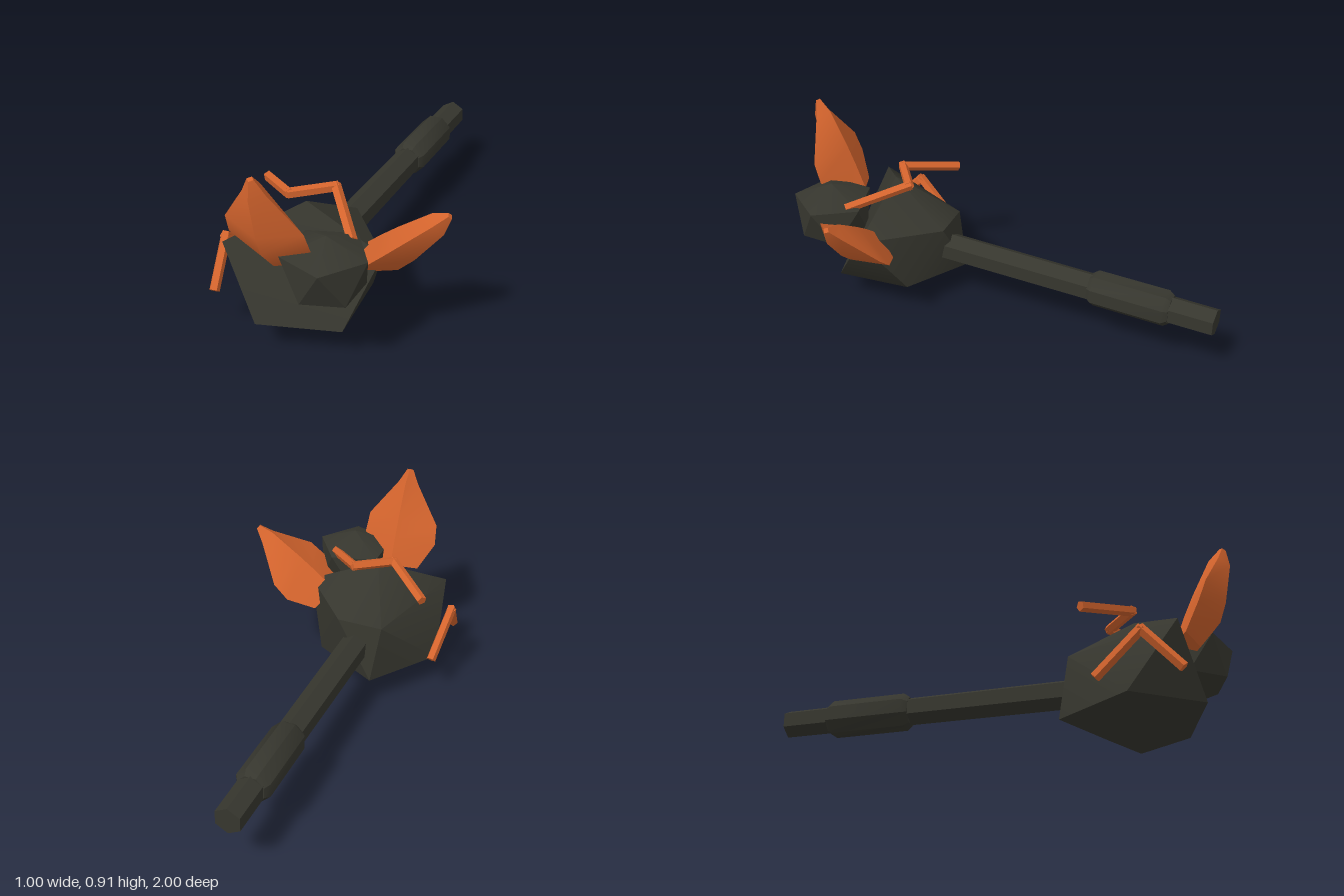
import * as THREE from 'three';
import { ConvexGeometry } from 'three/addons/geometries/ConvexGeometry.js';
import { toCreasedNormals } from 'three/addons/utils/BufferGeometryUtils.js';

const V = (x, y, z) => new THREE.Vector3(x, y, z);

export function createModel() {
  const model = new THREE.Group();
  const darkIron = new THREE.MeshStandardMaterial({ color: 0x36362e });
  const orangeLeaf = new THREE.MeshStandardMaterial({ color: 0xd4642d });
  darkIron.name = 'darkIron';
  orangeLeaf.name = 'orangeLeaf';

  // ridges stay sharp, shallow bends are smoothed
  function add(name, geometry, material, parent = model) {
    const mesh = new THREE.Mesh(toCreasedNormals(geometry, 0.6), material);
    mesh.name = name;
    parent.add(mesh);
    return mesh;
  }

  // body: rough rock
  add('body', new ConvexGeometry([
    V(-0.125, 0, 0.58), V(-0.125, 0.6, 0.575),
    V(-0.22, 0.155, 0.87), V(0.12, 0.147, 0.76), V(0.09, 0.16, 0.41),
    V(-0.22, 0.147, 0.26), V(-0.437, 0.145, 0.58),
    V(-0.4, 0.456, 0.79), V(-0.25, 0.415, 0.31), V(-0.045, 0.43, 0.285), V(0.215, 0.43, 0.575),
  ]), darkIron);

  // smaller rock: two poles and two staggered pentagons
  const lumpPoints = [V(0.08, 0.29, 0.795), V(0.08, 0.613, 0.795)];
  for (let i = 0; i < 5; i++) {
    const a = (i * 2 * Math.PI) / 5;
    lumpPoints.push(V(0.076 + 0.182 * Math.cos(a), 0.54, 0.795 + 0.182 * Math.sin(a)));
    lumpPoints.push(V(0.08 - 0.155 * Math.cos(a), 0.375, 0.795 - 0.155 * Math.sin(a)));
  }
  add('smallLump', new ConvexGeometry(lumpPoints), darkIron);

  // hexagonal shaft and bevelled octagonal grip along z
  const shaft = add('shaft', new THREE.CylinderGeometry(0.068, 0.063, 1.4, 6), darkIron);
  shaft.rotation.x = Math.PI / 2;
  shaft.position.set(-0.127, 0.297, -0.3);
  const r = 0.076 / Math.cos(Math.PI / 8);
  const profile = [[0, -0.19], [r - 0.018, -0.19], [r, -0.165], [r, 0.165], [r - 0.018, 0.19], [0, 0.19]];
  const gripShape = new THREE.LatheGeometry(profile.map(p => new THREE.Vector2(...p)), 8);
  gripShape.rotateY(Math.PI / 8);
  const grip = add('grip', gripShape, darkIron);
  grip.rotation.x = Math.PI / 2;
  grip.position.set(-0.127, 0.297, -0.61);

  // leaf: diamond sections [height, half width, edge z, front ridge z, back ridge z]
  function leafGeometry() {
    const sections = [
      [0, 0.12, 0, 0.05, -0.06],
      [0.128, 0.18, 0.024, 0.096, -0.06],
      [0.223, 0.172, 0.021, 0.091, -0.056],
      [0.4, 0.05, 0.009, 0.056, -0.04],
      [0.467, 0.015, 0.002, 0.016, -0.012],
    ];
    const pos = [], index = [];
    for (const [y, w, e, f, b] of sections) pos.push(0, y, f, w, y, e, 0, y, b, -w, y, e);
    for (let s = 0; s < sections.length - 1; s++) {
      for (let i = 0; i < 4; i++) {
        const a = s * 4 + i, b = s * 4 + ((i + 1) % 4);
        index.push(a, b, b + 4, a, b + 4, a + 4);
      }
    }
    const t = (sections.length - 1) * 4;
    index.push(0, 2, 1, 0, 3, 2, t, t + 1, t + 2, t, t + 2, t + 3);
    const g = new THREE.BufferGeometry();
    g.setAttribute('position', new THREE.Float32BufferAttribute(pos, 3));
    g.setIndex(index);
    return g;
  }
  const frontLeaf = add('frontLeaf', leafGeometry(), orangeLeaf);
  frontLeaf.position.set(-0.125, 0.47, 0.805);
  frontLeaf.rotation.x = 0.372;

  const sideLeaf = add('sideLeaf', leafGeometry(), orangeLeaf);
  const axis = V(0.775, 0.635, -0.03).normalize();
  const normal = V(0.12, -0.22, -0.96).cross(axis).normalize();
  const across = axis.clone().cross(normal);
  sideLeaf.quaternion.setFromRotationMatrix(new THREE.Matrix4().makeBasis(across, axis, normal));
  sideLeaf.position.set(0.125, 0.374, 0.56);

  // twigs: straight five-sided rods between bend points
  function twig(name, points) {
    const group = new THREE.Group();
    group.name = name;
    model.add(group);
    for (let i = 0; i < points.length - 1; i++) {
      const dir = points[i + 1].clone().sub(points[i]);
      const rod = add('twigSegment', new THREE.CylinderGeometry(0.023, 0.023, dir.length() + 0.02, 5), orangeLeaf, group);
      rod.position.copy(points[i]).addScaledVector(dir, 0.5);
      rod.quaternion.setFromUnitVectors(V(0, 1, 0), dir.normalize());
    }
  }
  twig('topTwig', [V(-0.4, 0.562, 0.405), V(-0.2, 0.62, 0.58), V(-0.05, 0.625, 0.46), V(0.13, 0.545, 0.68)]);
  twig('sideTwig', [V(-0.453, 0.215, 0.465), V(-0.477, 0.385, 0.65), V(-0.45, 0.22, 0.8)]);

  return model;
}
